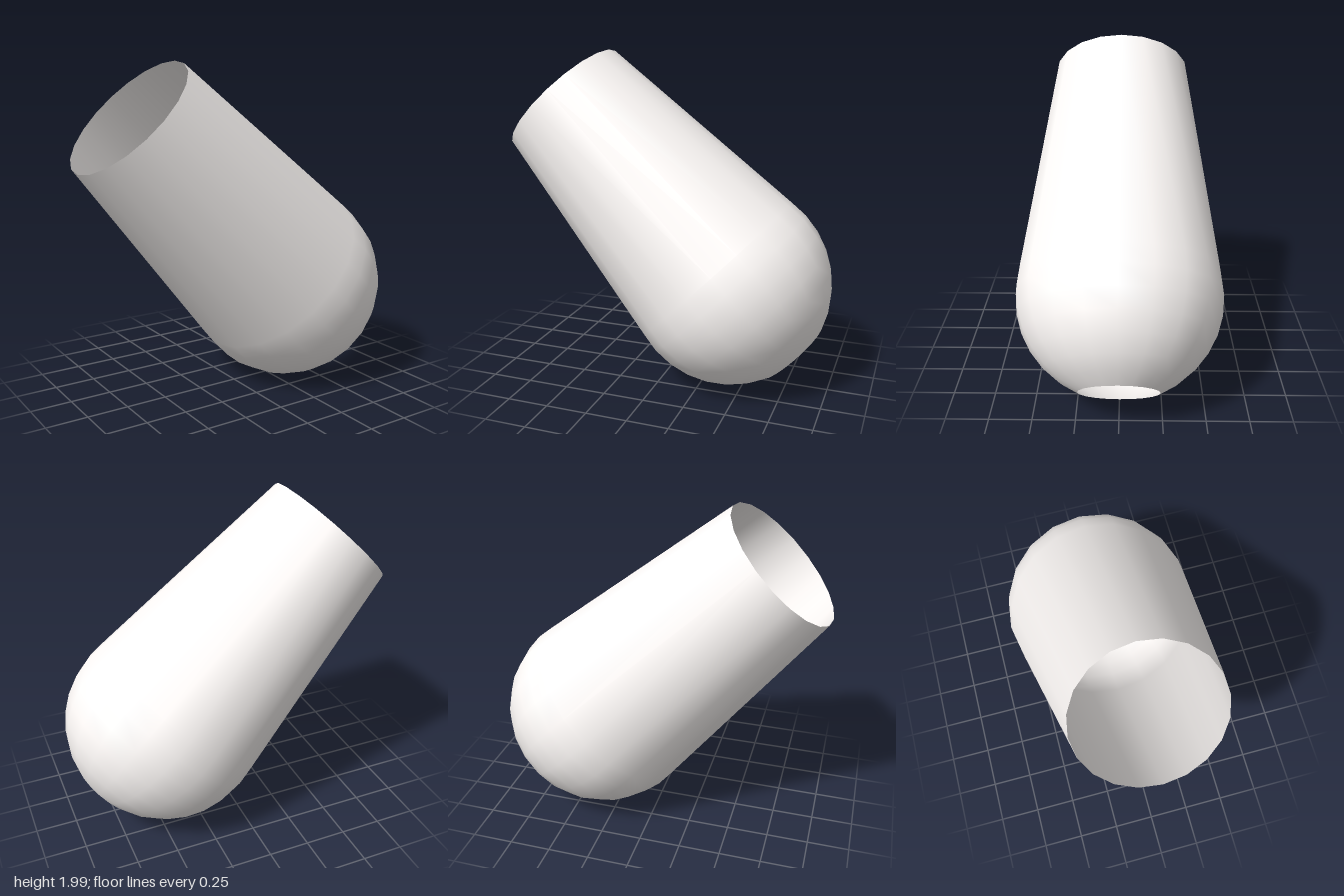
import * as THREE from 'three';

const SIDES = 20;
const DOME_RADIUS = 0.613;
const RIM_RADIUS = 0.425;
const BARREL_LENGTH = 1.527;

export function createModel() {
  const model = new THREE.Group();
  model.name = 'taperedShell';

  // Round end, cut open by a small hole at its pole and running just past its equator
  const profile = [];
  for (let i = 2; i <= 9; i++) {
    const a = (i * Math.PI) / 16;
    profile.push(new THREE.Vector2(DOME_RADIUS * Math.sin(a), -DOME_RADIUS * Math.cos(a)));
  }
  // Tapered barrel up to the open rim
  profile.push(new THREE.Vector2(RIM_RADIUS, BARREL_LENGTH));

  // Thin open shell, its axis leaning 45 degrees to the side
  const shell = new THREE.Mesh(
    new THREE.LatheGeometry(profile, SIDES),
    new THREE.MeshStandardMaterial({ color: 0xfffbf9, side: THREE.DoubleSide }),
  );
  shell.name = 'shell';
  shell.position.set(0.38, 0.62, 0);
  shell.rotation.z = Math.PI / 4;
  model.add(shell);

  return model;
}
